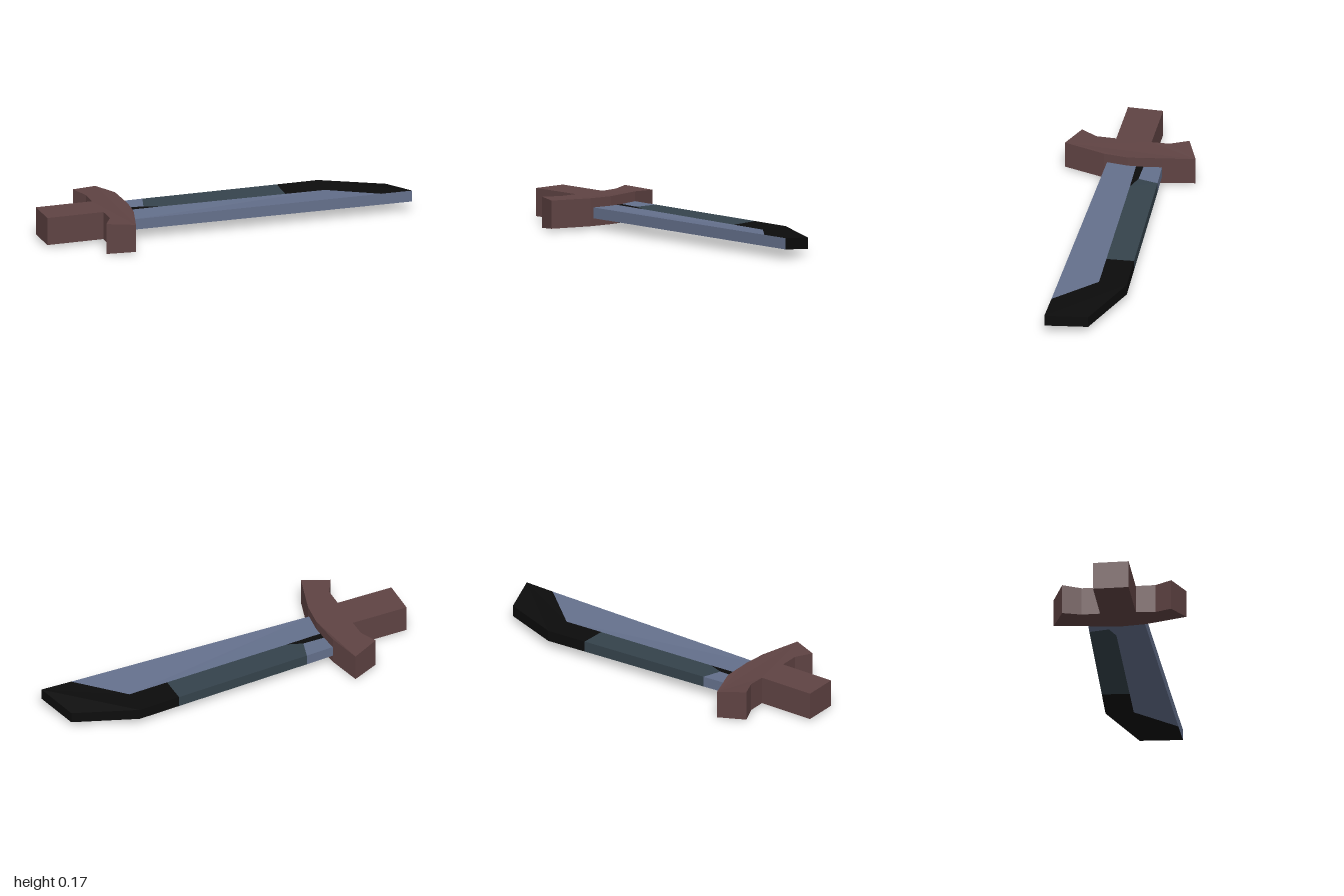
import * as THREE from 'three';

const mat = (name, color) => {
  const m = new THREE.MeshStandardMaterial({ color });
  m.name = name;
  return m;
};

// Slab from a plan outline of [x, z, bottom, top], counterclockwise from above.
// walls: indices of the outline edges that get a side face.
function slab(name, material, pts, walls, caps = ['top', 'bottom']) {
  const pos = [];
  const low = (p) => [p[0], p[2], p[1]];
  const high = (p) => [p[0], p[3], p[1]];
  const tri = (a, b, c) => pos.push(...a, ...b, ...c);
  const flat = pts.map((p) => new THREE.Vector2(p[0], -p[1]));
  for (const face of THREE.ShapeUtils.triangulateShape(flat, [])) {
    const ccw = THREE.ShapeUtils.area(face.map((i) => flat[i])) > 0;
    const [a, b, c] = (ccw ? face : [...face].reverse()).map((i) => pts[i]);
    if (caps.includes('top')) tri(high(a), high(b), high(c));
    if (caps.includes('bottom')) tri(low(c), low(b), low(a));
  }
  for (const i of walls) {
    const a = pts[i], b = pts[(i + 1) % pts.length];
    tri(low(a), low(b), high(b));
    tri(low(a), high(b), high(a));
  }
  const g = new THREE.BufferGeometry();
  g.setAttribute('position', new THREE.Float32BufferAttribute(pos, 3));
  g.computeVertexNormals();
  const mesh = new THREE.Mesh(g, material);
  mesh.name = name;
  return mesh;
}

// Blade heights: the spine side sinks a little towards the tip
const bladePoint = ([x, z]) => {
  const t = (x + 0.53) / 1.53;
  const k = THREE.MathUtils.clamp((0.14 - z) / 0.22, 0, 1);
  const rise = z < -0.08 ? (-0.08 - z) * 0.05 : 0;
  const dip = t * k * 0.026 - rise;
  return [x, z, 0.056 - dip, 0.113 + 0.003 * t - dip];
};

export function createModel() {
  const wood = mat('brown wood', 0x5f4343);
  const steel = mat('blue steel', 0x64708c);
  const slate = mat('dark slate', 0x35434c);
  const black = mat('black', 0x0c0c0c);

  const model = new THREE.Group();
  model.name = 'sword';

  // Grip
  model.add(slab('grip', wood, [
    [-1, 0.095, 0.016, 0.165], [-0.69, 0.095, 0.016, 0.165],
    [-0.69, -0.093, 0.016, 0.165], [-1, -0.093, 0.016, 0.165],
  ], [0, 2, 3]));

  // Swept crossguard; the edge behind the grip stays open
  model.add(slab('crossguard', wood, [
    [-0.69, 0.095, 0.016, 0.165], [-0.69, 0.2, 0.01, 0.165],
    [-0.74, 0.288, 0.0, 0.165], [-0.597, 0.35, 0.016, 0.165],
    [-0.535, 0.13, 0.015, 0.163], [-0.522, 0.0, 0.015, 0.163],
    [-0.533, -0.18, 0.021, 0.17], [-0.585, -0.35, 0.008, 0.157],
    [-0.73, -0.288, 0.012, 0.173], [-0.69, -0.19, 0.016, 0.168],
    [-0.69, -0.093, 0.016, 0.165],
  ], [0, 1, 2, 3, 4, 5, 6, 7, 8, 9]));

  // Blade, split into its coloured areas
  const blade = new THREE.Group();
  blade.name = 'blade';
  const part = (name, m, outline, walls, caps) =>
    blade.add(slab(name, m, outline.map(bladePoint), walls, caps));

  part('cuttingSide', steel, [
    [-0.54, 0.113], [0.83, 0.136], [0.59, -0.07], [0.37, -0.065],
    [-0.33, -0.05], [-0.54, -0.043],
  ], [0]);
  part('spine', slate, [
    [-0.33, -0.05], [0.37, -0.065], [0.37, -0.212], [-0.38, -0.187], [-0.41, -0.08],
  ], [2]);
  part('spineRoot', steel, [
    [-0.54, -0.083], [-0.41, -0.08], [-0.38, -0.187], [-0.54, -0.18],
  ], [2]);
  const notch = [[-0.54, -0.043], [-0.33, -0.05], [-0.41, -0.08], [-0.54, -0.083]];
  part('rootNotch', black, notch, [], ['top']);
  part('rootUnderside', steel, notch, [], ['bottom']);
  part('tip', black, [
    [0.37, -0.065], [0.59, -0.07], [0.83, 0.136], [1, 0.14],
    [0.93, -0.08], [0.6, -0.22], [0.37, -0.212],
  ], [3, 4, 5]);
  // Steel front edge below the tip
  part('tipFrontEdge', steel, [[0.83, 0.136], [1, 0.14], [0.93, 0.1]], [0], []);

  model.add(blade);
  return model;
}
